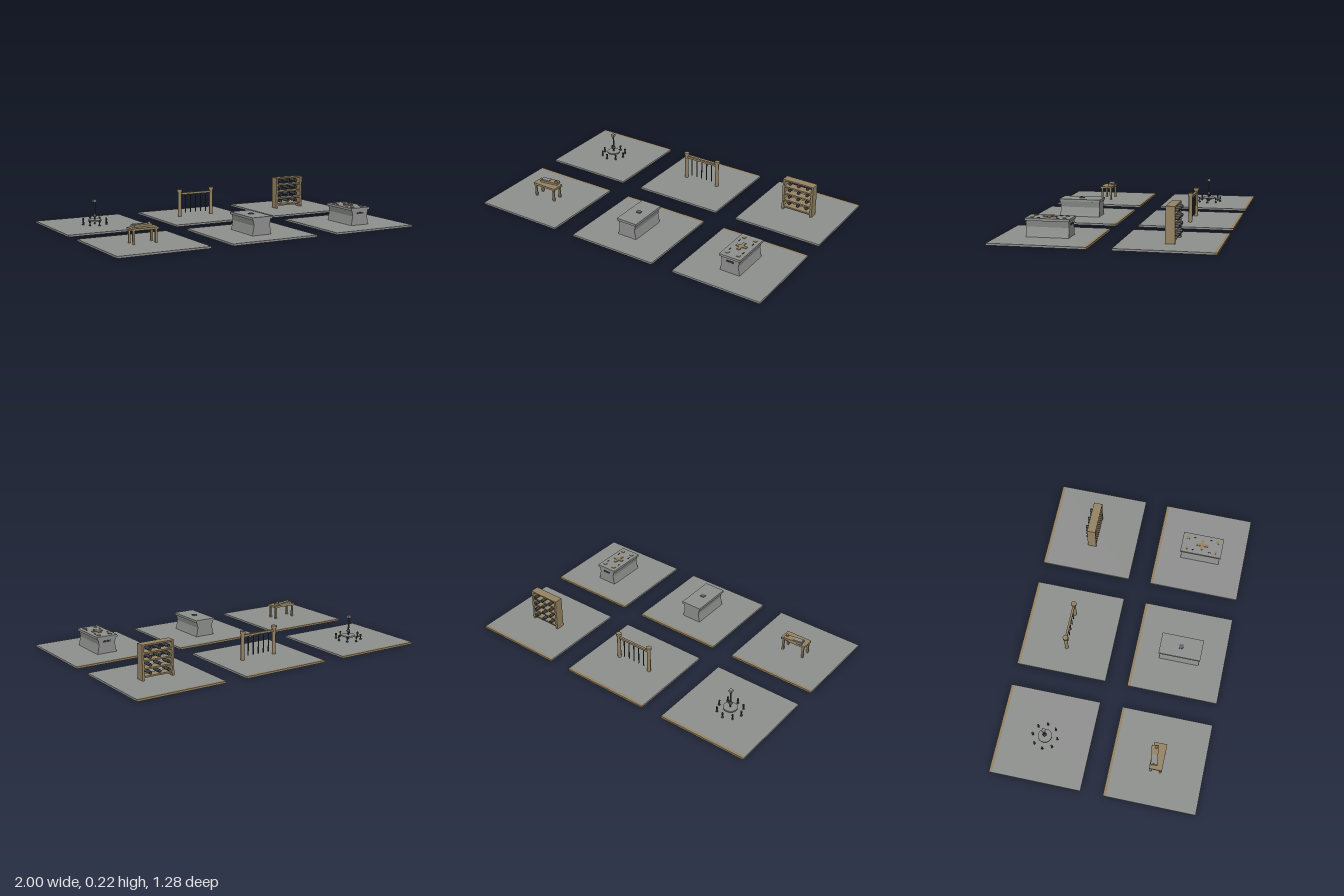
import * as THREE from 'three';

const mat = (name, color) => Object.assign(new THREE.MeshStandardMaterial({ color }), { name });

export function createModel() {
  const stone = mat('stone', 0x8f918f);
  const wood = mat('wood', 0x968464);
  const iron = mat('dark iron', 0x3e4042);
  const slate = mat('slate', 0x5c6270);
  const root = new THREE.Group();
  const T = 0.012; // slab thickness

  const add = (parent, name, geo, m, x = 0, y = 0, z = 0) => {
    const mesh = new THREE.Mesh(geo, m);
    mesh.name = name;
    mesh.position.set(x, y, z);
    parent.add(mesh);
    return mesh;
  };
  // Box given by its bottom height
  const box = (p, name, m, w, h, d, x, y, z) =>
    add(p, name, new THREE.BoxGeometry(w, h, d), m, x, y + h / 2, z);
  const rod = (p, name, m, r, h, x, y, z, r2 = r, sides = 12) =>
    add(p, name, new THREE.CylinderGeometry(r2, r, h, sides), m, x, y + h / 2, z);

  // Each display stands on a slab with a wooden strip along its back edge
  const tile = (name, x, z) => {
    const g = new THREE.Group();
    g.name = name;
    g.position.set(x, 0, z);
    root.add(g);
    box(g, 'slab', stone, 0.572, T, 0.554, 0, 0, 0.009);
    box(g, 'backStrip', wood, 0.572, T, 0.018, 0, 0, -0.277);
    return g;
  };

  // Ring of candle stands around a hub
  const candles = tile('candleCircle', -0.714, -0.356);
  rod(candles, 'hubDisc', stone, 0.043, 0.008, 0, 0.032, 0, 0.043, 20);
  rod(candles, 'hubPost', iron, 0.005, 0.145, 0, T, 0);
  add(candles, 'hubKnob', new THREE.SphereGeometry(0.012, 12, 8), iron, 0, 0.066, 0);
  box(candles, 'postCap', stone, 0.021, 0.014, 0.021, 0, 0.152, 0);
  for (let i = 0; i < 8; i++) {
    const a = (i * Math.PI) / 4;
    const x = 0.078 * Math.cos(a), z = 0.078 * Math.sin(a);
    rod(candles, 'candleFoot', iron, 0.007, 0.009, x, T, z, 0.006, 8);
    rod(candles, 'candleStem', iron, 0.003, 0.012, x, 0.02, z, 0.003, 8);
    rod(candles, 'candleCup', iron, 0.005, 0.016, x, 0.03, z, 0.006, 8);
  }

  // Railing with hanging bars
  const gate = tile('railing', 0, -0.356);
  for (const s of [-1, 1]) {
    rod(gate, 'railPost', wood, 0.0115, 0.164, s * 0.116, T, -0.002, 0.0115, 8);
    rod(gate, 'postCap', wood, 0.017, 0.016, s * 0.116, 0.175, -0.002, 0.017, 12);
  }
  box(gate, 'topRail', wood, 0.232, 0.013, 0.014, 0, 0.155, -0.002);
  for (let i = -2; i <= 2; i++)
    rod(gate, 'hangingBar', iron, 0.0035, 0.122, i * 0.0375, 0.034, -0.002, 0.0035, 8);

  // Open rack with rolls lying front to back
  const rack = tile('rack', 0.714, -0.356);
  for (const s of [-1, 1]) box(rack, 'sidePanel', wood, 0.013, 0.209, 0.055, s * 0.0975, T, 0);
  for (let i = 0; i < 5; i++)
    box(rack, 'shelf', wood, i === 4 ? 0.208 : 0.19, 0.009, 0.054, 0, 0.029 + i * 0.046, 0);
  for (let row = 0; row < 4; row++)
    for (let col = -1; col <= 1; col++) {
      const roll = add(rack, 'roll', new THREE.CylinderGeometry(0.01, 0.01, 0.062, 10), iron,
        col * 0.06, 0.058 + row * 0.046, -0.013);
      roll.rotation.x = Math.PI / 2;
    }

  // Table with a board, sheet and small cup
  const table = tile('table', -0.714, 0.356);
  box(table, 'tableTop', wood, 0.168, 0.013, 0.08, 0.001, 0.09, -0.004);
  for (const sx of [-1, 1])
    for (const sz of [-1, 1])
      box(table, 'tableLeg', wood, 0.012, 0.08, 0.012, sx * 0.07, T, -0.004 + sz * 0.03);
  const board = new THREE.Group();
  board.name = 'boardSet';
  board.position.set(0.003, 0.103, -0.026);
  board.rotation.y = 0.14;
  table.add(board);
  box(board, 'board', wood, 0.122, 0.013, 0.042, 0, 0, 0);
  box(board, 'sheet', stone, 0.056, 0.004, 0.032, -0.028, 0.013, 0);
  rod(board, 'cup', wood, 0.009, 0.01, 0.048, 0.013, 0.008);

  // Flared stone chest; returns its group
  const chest = (name, x) => {
    const g = tile(name, x, 0.356);
    const s = new THREE.Shape([
      [-0.065, T], [0.065, T], [0.062, 0.026], [0.054, 0.07], [0.061, 0.107],
      [-0.061, 0.107], [-0.054, 0.07], [-0.062, 0.026],
    ].map(([a, b]) => new THREE.Vector2(a, b)));
    add(g, 'chestBody', new THREE.ExtrudeGeometry(s, { depth: 0.252, bevelEnabled: false }),
      stone, 0, 0, -0.126);
    box(g, 'lid', stone, 0.138, 0.015, 0.264, 0, 0.106, 0);
    return g;
  };

  const plain = chest('plainChest', 0);
  box(plain, 'lidStud', slate, 0.028, 0.005, 0.026, 0, 0.121, 0);

  // Chest with a wooden cross and fittings
  const ornate = chest('crossChest', 0.714);
  box(ornate, 'crossLong', wood, 0.018, 0.005, 0.08, 0, 0.121, 0);
  for (const s of [-1, 1]) {
    box(ornate, 'crossArm', wood, 0.025, 0.005, 0.018, s * 0.0215, 0.121, 0);
    box(ornate, 'endHandle', iron, 0.046, 0.01, 0.006, 0, 0.082, s * 0.128);
    for (const t of [-1, 1]) {
      box(ornate, 'cornerPlate', wood, 0.02, 0.003, 0.02, s * 0.037, 0.121, t * 0.095);
      box(ornate, 'lidPin', iron, 0.005, 0.003, 0.016, s * 0.044, 0.121, t * 0.055);
    }
  }
  return root;
}
